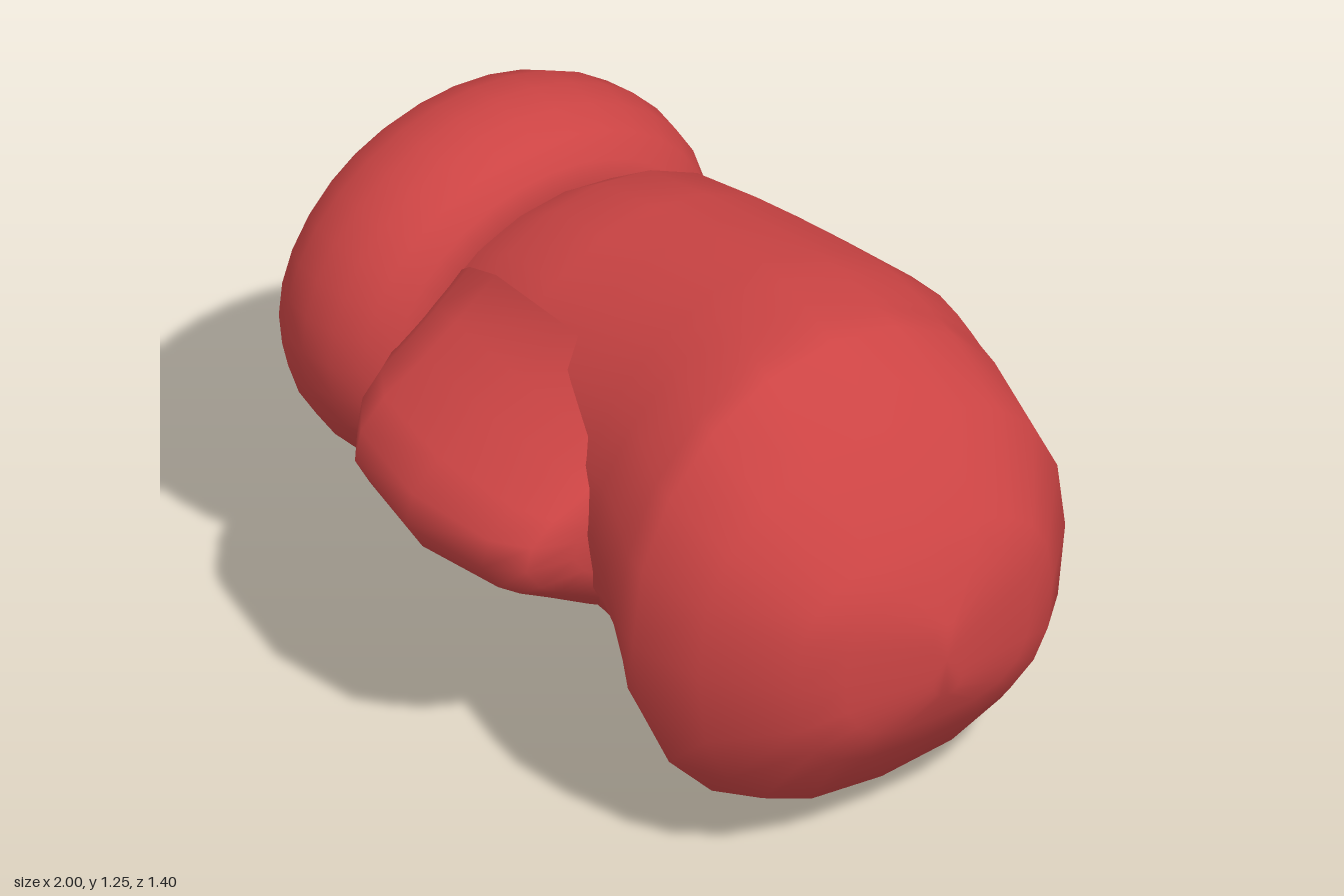
import * as THREE from 'three';

const red = new THREE.MeshStandardMaterial({ color: 0xcc4444 });

// Skin a row of closed cross-sections running along +x and cap both ends
function loft(rings) {
  const n = rings[0].length, last = rings.length - 1;
  const pos = rings.flat(2), idx = [];
  for (let i = 0; i < last; i++) {
    for (let j = 0; j < n; j++) {
      const a = i * n + j, b = i * n + (j + 1) % n;
      idx.push(a, b, a + n, b, b + n, a + n);
    }
  }
  [0, last].forEach((r) => {
    const c = pos.length / 3;
    for (let k = 0; k < 3; k++) pos.push(rings[r].reduce((s, p) => s + p[k], 0) / n);
    for (let j = 0; j < n; j++) {
      const a = r * n + j, b = r * n + (j + 1) % n;
      if (r === 0) idx.push(c, b, a);
      else idx.push(c, a, b);
    }
  });
  const g = new THREE.BufferGeometry();
  g.setAttribute('position', new THREE.Float32BufferAttribute(pos, 3));
  g.setIndex(idx);
  g.computeVertexNormals();
  return g;
}

// Rounded cross-section; powers below 1 make the upper or lower half boxier
function oval([x, top, bottom, back, front, upper, lower], sides = 20) {
  const cy = (top + bottom) / 2, cz = (back + front) / 2;
  return Array.from({ length: sides }, (_, j) => {
    const a = (j / sides) * Math.PI * 2;
    const e = Math.cos(a) > 0 ? upper : lower;
    const soft = (v) => Math.sign(v) * Math.abs(v) ** e;
    return [
      x,
      cy + soft(Math.cos(a)) * (top - bottom) / 2,
      cz + soft(Math.sin(a)) * (front - back) / 2,
    ];
  });
}

export function createModel() {
  const group = new THREE.Group();
  const add = (name, geometry) => {
    const m = new THREE.Mesh(geometry, red);
    m.name = name;
    group.add(m);
    return m;
  };

  // Hand and curled fist: x, top, bottom, back, front, upper and lower power
  const body = [
    [-0.63, 1.00, 0.46, -0.47, 0.29, 1, 0.95],
    [-0.57, 1.05, 0.38, -0.55, 0.32, 1, 0.9],
    [-0.41, 1.16, 0.30, -0.62, 0.37, 1.05, 0.87],
    [-0.22, 1.185, 0.28, -0.67, 0.39, 1.07, 0.85],
    [-0.06, 1.21, 0.265, -0.69, 0.39, 1.1, 0.85],
    [0.20, 1.25, 0.265, -0.70, 0.42, 1.1, 0.87],
    [0.31, 1.255, 0.26, -0.70, 0.45, 1.08, 0.92],
    [0.39, 1.255, 0.20, -0.69, 0.475, 1.05, 0.98],
    [0.45, 1.255, 0.10, -0.685, 0.495, 1.03, 1],
    [0.49, 1.25, 0.02, -0.68, 0.51, 1, 1],
    [0.56, 1.24, 0.0, -0.665, 0.52, 0.97, 0.95],
    [0.75, 1.10, 0.11, -0.62, 0.47, 0.87, 0.82],
    [0.91, 0.87, 0.30, -0.46, 0.30, 0.77, 0.74],
    [0.955, 0.79, 0.38, -0.36, 0.19, 0.75, 0.75],
    [1.0, 0.67, 0.47, -0.13, -0.03, 0.8, 0.8],
  ];
  add('fist', loft(body.map((s) => oval(s))));

  // Thumb: one ridge profile (y, z) that flares into the palm, scaled along x
  const ridge = [
    [1.06, 0.22], [0.97, 0.36], [0.91, 0.46], [0.84, 0.60], [0.77, 0.68], [0.69, 0.70],
    [0.61, 0.65], [0.56, 0.58], [0.51, 0.49], [0.44, 0.37], [0.36, 0.22], [0.71, 0.10],
  ];
  // x, reach towards the front, height scale
  const thumb = [
    [-0.58, 0.41, 0.66], [-0.50, 0.53, 0.84], [-0.38, 0.63, 0.97], [-0.09, 0.70, 1],
    [0.17, 0.67, 0.90], [0.25, 0.60, 0.75], [0.28, 0.48, 0.55],
  ];
  add('thumb', loft(thumb.map(([x, reach, h]) => ridge.map(([y, z]) => [
    x, 0.71 + (y - 0.71) * h, 0.15 + (z - 0.15) * (reach - 0.15) / 0.55,
  ]))));

  // Padded cuff: an oval ring around the wrist opening
  const ring = new THREE.TorusGeometry(0.33, 0.155, 16, 32);
  ring.rotateY(Math.PI / 2);
  ring.scale(0.23 / 0.155, 1, 0.575 / 0.485);
  add('cuff', ring).position.set(-0.77, 0.735, -0.085);

  return group;
}
